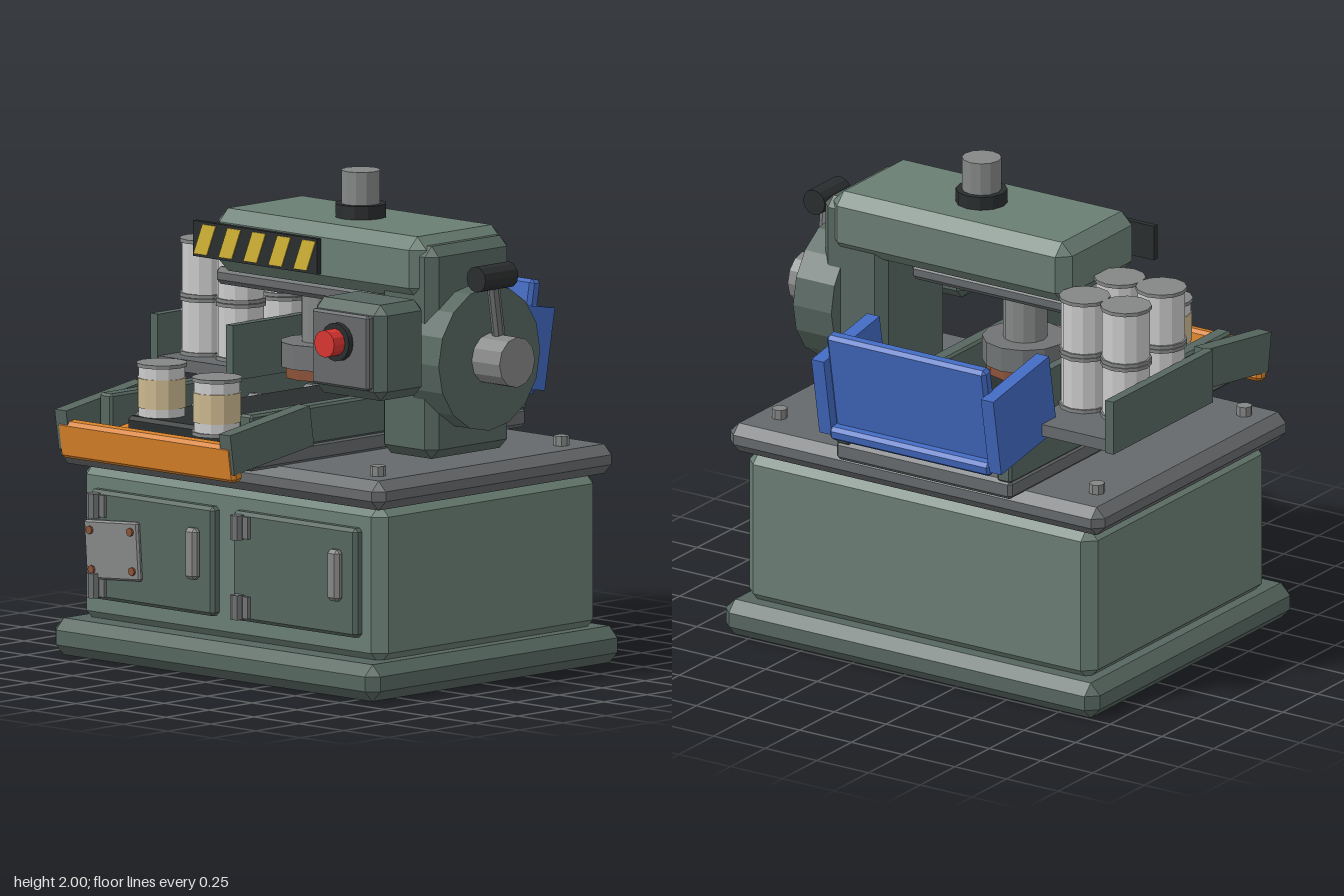
import * as THREE from 'three';
import { ConvexGeometry } from 'three/addons/geometries/ConvexGeometry.js';

const mat = (color) => new THREE.MeshStandardMaterial({ color, flatShading: true });
const M = {
  green: mat(0x6a7e74), darkGreen: mat(0x56665f), slab: mat(0x66696b), metal: mat(0x858686),
  steel: mat(0x707374), black: mat(0x2a2d2e), orange: mat(0xd98228), blue: mat(0x4169c0),
  red: mat(0xd8342f), copper: mat(0x8a5238), can: mat(0xc2c3c2), label: mat(0xcbb88f), yellow: mat(0xd4b436),
};

function add(parent, name, geometry, material, x = 0, y = 0, z = 0) {
  const mesh = new THREE.Mesh(geometry, material);
  mesh.name = name;
  mesh.position.set(x, y, z);
  parent.add(mesh);
  return mesh;
}

function group(parent, name, x = 0, y = 0, z = 0) {
  const g = new THREE.Group();
  g.name = name;
  g.position.set(x, y, z);
  parent.add(g);
  return g;
}

// Box with every edge chamfered by c
function chamferBox(w, h, d, c) {
  const pts = [];
  for (const sx of [-1, 1]) for (const sy of [-1, 1]) for (const sz of [-1, 1]) {
    for (const [a, b, e] of [[0, c, c], [c, 0, c], [c, c, 0]]) {
      pts.push(new THREE.Vector3(sx * (w / 2 - a), sy * (h / 2 - b), sz * (d / 2 - e)));
    }
  }
  return new ConvexGeometry(pts);
}

// Box given by its extents: [x0, x1], [y0, y1], [z0, z1]
function block(parent, name, material, [x0, x1], [y0, y1], [z0, z1], c = 0) {
  const s = [x1 - x0, y1 - y0, z1 - z0];
  const geometry = c ? chamferBox(...s, c) : new THREE.BoxGeometry(...s);
  return add(parent, name, geometry, material, (x0 + x1) / 2, (y0 + y1) / 2, (z0 + z1) / 2);
}

// Cylinder along the chosen axis, centred at x, y, z
function rod(parent, name, material, r, length, axis, x, y, z, sides = 12) {
  const geometry = new THREE.CylinderGeometry(r, r, length, sides);
  if (axis === 'x') geometry.rotateZ(-Math.PI / 2);
  if (axis === 'z') geometry.rotateX(Math.PI / 2);
  return add(parent, name, geometry, material, x, y, z);
}

function can(parent, x, y, z, labelled) {
  const g = group(parent, 'can', x, y, z);
  rod(g, 'canBody', M.can, 0.096, 0.225, 'y', 0, 0.118, 0);
  rod(g, 'canBottomRim', M.metal, 0.104, 0.015, 'y', 0, 0.008, 0);
  rod(g, 'canTopRim', M.metal, 0.104, 0.015, 'y', 0, 0.228, 0);
  if (labelled) rod(g, 'canLabel', M.label, 0.1, 0.12, 'y', 0, 0.115, 0);
}

function door(parent, x0, hingeX, handleX) {
  const g = group(parent, 'door');
  block(g, 'doorPanel', M.darkGreen, [x0, x0 + 0.69], [0.24, 0.685], [0.56, 0.615], 0.015);
  for (const y of [0.3, 0.625]) {
    rod(g, 'hingePin', M.steel, 0.028, 0.1, 'y', hingeX - 0.01, y, 0.635, 8);
    block(g, 'hingeLeaf', M.steel, [hingeX - 0.01, hingeX + 0.045], [y - 0.045, y + 0.045], [0.61, 0.63]);
  }
  block(g, 'handle', M.metal, [handleX - 0.033, handleX + 0.033], [0.385, 0.595], [0.61, 0.655], 0.015);
}

export function createModel() {
  const model = new THREE.Group();
  model.name = 'canPressMachine';

  // Base cabinet
  const base = group(model, 'base');
  block(base, 'plinth', M.darkGreen, [-0.94, 0.87], [0, 0.15], [-0.78, 0.685], 0.045);
  block(base, 'cabinet', M.green, [-0.88, 0.805], [0.13, 0.785], [-0.71, 0.575], 0.05);
  block(base, 'tableTop', M.slab, [-0.94, 0.87], [0.775, 0.895], [-0.74, 0.65], 0.04);
  for (const x of [-0.805, 0.73]) for (const z of [-0.555, 0.51]) {
    rod(base, 'tableBolt', M.metal, 0.032, 0.05, 'y', x, 0.91, z, 8);
  }
  door(base, -0.78, -0.725, -0.185);
  door(base, 0.015, 0.075, 0.608);

  // Crooked riveted plate on the door
  const plate = group(base, 'patchPlate', -0.632, 0.452, 0.625);
  plate.rotation.z = 0.07;
  add(plate, 'patch', chamferBox(0.3, 0.24, 0.025, 0.008), M.metal);
  for (const x of [-0.113, 0.113]) for (const y of [-0.08, 0.08]) {
    rod(plate, 'rivet', M.copper, 0.017, 0.02, 'z', x, y, 0.012, 8);
  }

  // Conveyor
  const conveyor = group(model, 'conveyor', -0.14);
  block(conveyor, 'conveyorBed', M.slab, [-0.425, 0.425], [0.89, 0.97], [-0.82, 0.78], 0.015);
  block(conveyor, 'belt', M.black, [-0.285, 0.285], [0.96, 1.04], [-0.78, 0.77], 0.015);
  for (const s of [-1, 1]) {
    block(conveyor, 'sideRail', M.darkGreen, [s * 0.39 - 0.035, s * 0.39 + 0.035], [0.96, 1.12], [-0.82, 0.78], 0.01);
  }
  for (let i = 0; i < 5; i++) {
    rod(conveyor, 'roller', M.metal, 0.038, 0.7, 'x', 0, 0.998, 0.62 - i * 0.325, 10);
  }

  // Sloping front outlet tray
  const outlet = group(model, 'outletTray', -0.138, 1.02, 0.73);
  outlet.rotation.x = 0.148;
  block(outlet, 'trayFloor', M.orange, [-0.43, 0.43], [-0.078, -0.035], [-0.235, 0.2]);
  block(outlet, 'trayLip', M.orange, [-0.486, 0.486], [-0.12, 0.035], [0.175, 0.236], 0.015);
  for (const s of [-1, 1]) {
    block(outlet, 'traySide', M.darkGreen, [s * 0.457 - 0.032, s * 0.457 + 0.032], [-0.083, 0.083], [-0.235, 0.233]);
  }

  // Sloping rear hopper
  const hopper = group(model, 'rearHopper', -0.135, 1.23, -0.73);
  hopper.rotation.x = -0.175;
  block(hopper, 'hopperFloor', M.blue, [-0.39, 0.39], [-0.19, -0.13], [-0.215, 0.2], 0.015);
  block(hopper, 'hopperBack', M.blue, [-0.385, 0.385], [-0.17, 0.272], [-0.172, -0.112], 0.015);
  for (const s of [-1, 1]) {
    block(hopper, 'hopperSide', M.blue, [s * 0.41 - 0.03, s * 0.41 + 0.03], [-0.168, 0.168], [-0.205, 0.205]);
  }

  // Cans leaving the press
  can(model, -0.335, 1.02, 0.655, true);
  can(model, 0.062, 1.015, 0.748, true);

  // Side rack with stacked cans
  const rack = group(model, 'canRack');
  block(rack, 'rackFloor', M.slab, [-0.9, -0.48], [1.105, 1.155], [-0.61, 0.1]);
  for (const x of [-0.905, -0.485]) {
    block(rack, 'rackSide', M.darkGreen, [x - 0.02, x + 0.02], [1.1, 1.325], [-0.615, 0.105]);
  }
  for (const x of [-0.795, -0.595]) for (const z of [-0.33, -0.075]) for (const y of [1.155, 1.392]) {
    can(rack, x, y, z, false);
  }

  // Press column, overhead beam and ram
  const press = group(model, 'press');
  block(press, 'column', M.darkGreen, [0.395, 0.7], [0.91, 1.775], [-0.31, 0.165], 0.04);
  block(press, 'beam', M.green, [-0.505, 0.65], [1.555, 1.81], [-0.335, 0.195], 0.05);
  block(press, 'ramGuide', M.slab, [-0.57, 0.3], [1.485, 1.555], [-0.26, 0.11], 0.02);
  rod(press, 'ramShaft', M.metal, 0.09, 0.27, 'y', -0.14, 1.37, -0.08);
  rod(press, 'ramHead', M.steel, 0.175, 0.1, 'y', -0.14, 1.23, -0.08);
  rod(press, 'ramRing', M.copper, 0.155, 0.05, 'y', -0.14, 1.16, -0.08);
  rod(press, 'pipeCollar', M.black, 0.105, 0.06, 'y', 0.074, 1.835, -0.075);
  rod(press, 'pipe', M.metal, 0.08, 0.16, 'y', 0.074, 1.92, -0.075);

  // Striped warning board
  const board = group(press, 'warningBoard', -0.235, 1.682, 0.205);
  add(board, 'boardPanel', new THREE.BoxGeometry(0.69, 0.145, 0.025), M.black);
  const stripe = new THREE.Shape([[-0.062, -0.062], [0.012, -0.062], [0.062, 0.062], [-0.012, 0.062]]
    .map(([x, y]) => new THREE.Vector2(x, y)));
  const stripeGeometry = new THREE.ExtrudeGeometry(stripe, { depth: 0.006, bevelEnabled: false });
  for (let i = -2; i <= 2; i++) add(board, 'warningStripe', stripeGeometry, M.yellow, i * 0.139, 0, 0.011);

  // Drive housing with hub and lever
  const drive = group(model, 'drive');
  rod(drive, 'driveHousing', M.darkGreen, 0.295, 0.185, 'x', 0.693, 1.31, -0.08, 16);
  rod(drive, 'hub', M.metal, 0.103, 0.17, 'x', 0.855, 1.31, -0.08);
  const from = new THREE.Vector3(0.83, 1.36, -0.095), to = new THREE.Vector3(0.855, 1.65, -0.025);
  const mid = from.clone().add(to).multiplyScalar(0.5);
  const lever = rod(drive, 'lever', M.steel, 0.026, from.distanceTo(to), 'y', mid.x, mid.y, mid.z, 8);
  lever.quaternion.setFromUnitVectors(new THREE.Vector3(0, 1, 0), to.clone().sub(from).normalize());
  rod(drive, 'leverGrip', M.black, 0.053, 0.19, 'z', 0.855, 1.655, -0.025);

  // Control box with stop button
  const control = group(model, 'controlBox');
  block(control, 'controlCase', M.darkGreen, [0.39, 0.785], [1.2, 1.59], [0.275, 0.55], 0.04);
  block(control, 'controlPanel', M.slab, [0.425, 0.74], [1.245, 1.55], [0.54, 0.58], 0.01);
  rod(control, 'buttonRing', M.black, 0.078, 0.04, 'z', 0.582, 1.432, 0.585, 16);
  rod(control, 'stopButton', M.red, 0.056, 0.07, 'z', 0.582, 1.432, 0.632, 12);

  return model;
}
